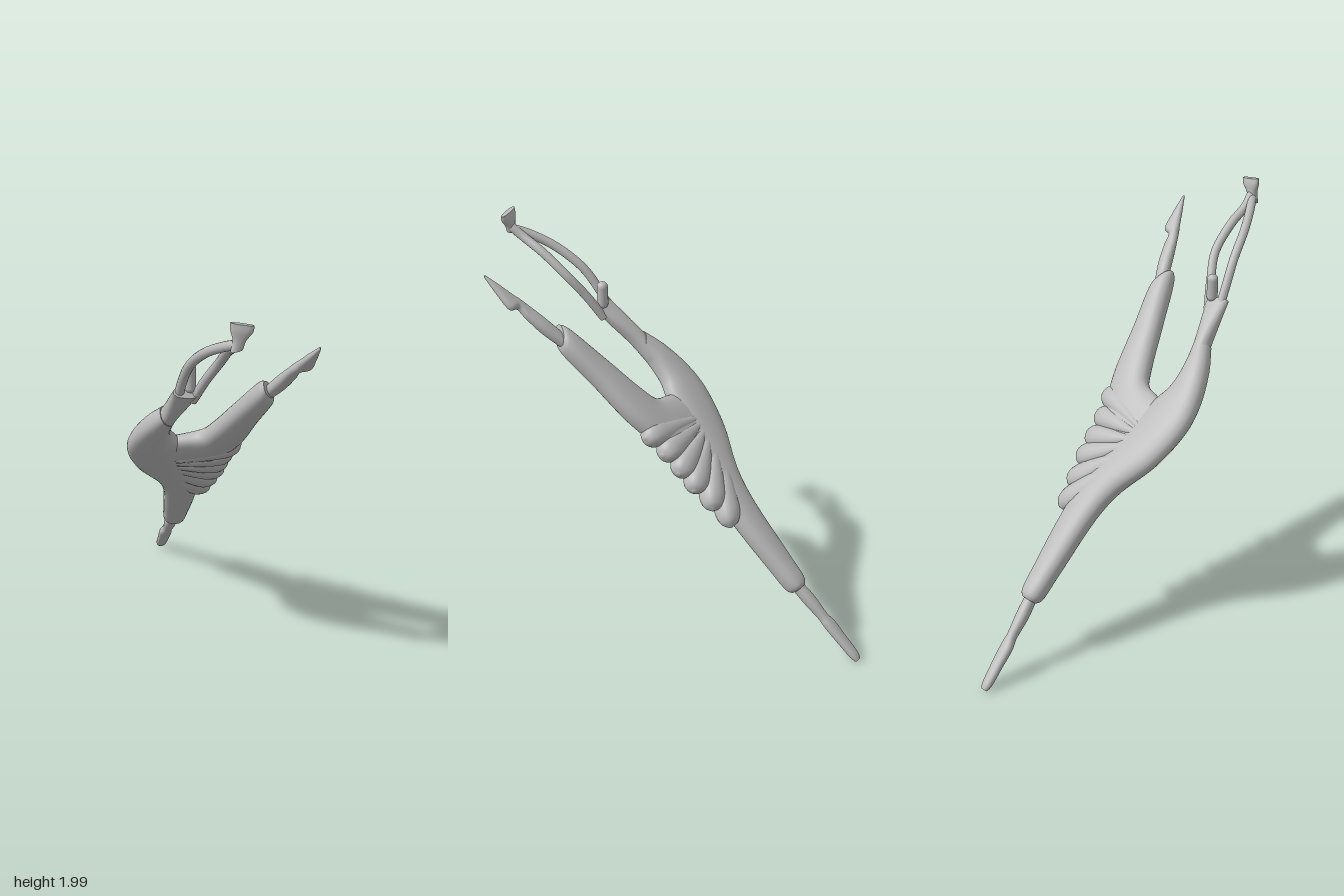
import * as THREE from 'three';

const TILT = 0.76; // the flat figure leans back-to-front at this angle
const grey = new THREE.MeshStandardMaterial({ color: 0xbababa });
grey.name = 'plain grey';

// Height in the upright frame -> distance along the tilted plane
const along = (y) => (y - 1) / Math.cos(TILT);
const same = (y) => y;

// Rounded solid lofted through sections [xLeft, yLeft, xRight, yRight, halfThickness]
function loft(sections, map = along, steps = 40, sides = 28) {
  const left = new THREE.CatmullRomCurve3(
    sections.map(([x, y]) => new THREE.Vector3(x, map(y), 0)));
  const right = new THREE.CatmullRomCurve3(
    sections.map(([, , x, y, t]) => new THREE.Vector3(x, map(y), t)));
  const pos = [], index = [];
  const round = (v) => Math.sign(v) * Math.pow(Math.abs(v), 0.85);
  const ring = (s) => {
    const l = left.getPoint(s), r = right.getPoint(s);
    const t = Math.max(r.z, 0.002);
    for (let j = 0; j < sides; j++) {
      const a = (j / sides) * Math.PI * 2;
      const k = 0.5 + round(Math.cos(a)) / 2;
      pos.push(l.x + (r.x - l.x) * k, l.y + (r.y - l.y) * k, round(Math.sin(a)) * t);
    }
    return [(l.x + r.x) / 2, (l.y + r.y) / 2, 0];
  };
  for (let i = 0; i <= steps; i++) ring(i / steps);
  for (let i = 0; i < steps; i++) {
    for (let j = 0; j < sides; j++) {
      const a = i * sides + j, b = i * sides + ((j + 1) % sides);
      index.push(a, a + sides, b, b, a + sides, b + sides);
    }
  }
  // Crisp end caps
  for (const end of [0, 1]) {
    const base = pos.length / 3;
    pos.push(...ring(end));
    const mid = base + sides;
    for (let j = 0; j < sides; j++) {
      const a = base + j, b = base + ((j + 1) % sides);
      if (end) index.push(mid, b, a);
      else index.push(mid, a, b);
    }
  }
  const g = new THREE.BufferGeometry();
  g.setAttribute('position', new THREE.Float32BufferAttribute(pos, 3));
  g.setIndex(index);
  g.computeVertexNormals();
  return g;
}

function add(parent, name, geometry) {
  const mesh = new THREE.Mesh(geometry, grey);
  mesh.name = name;
  parent.add(mesh);
  return mesh;
}

export function createModel() {
  const model = new THREE.Group();
  model.name = 'dancer';
  const figure = new THREE.Group();
  figure.name = 'tiltedFigure';
  figure.position.set(0, 1, 0.01);
  figure.rotation.x = TILT;
  model.add(figure);

  // Standing leg flowing into the arched torso
  add(figure, 'torsoAndStandingLeg', loft([
    [-0.125, 0.345, -0.055, 0.345, 0.036],
    [-0.143, 0.36, -0.04, 0.36, 0.048],
    [-0.155, 0.46, -0.025, 0.46, 0.053],
    [-0.178, 0.7, -0.008, 0.68, 0.058],
    [-0.215, 0.8, -0.03, 0.84, 0.06],
    [-0.325, 0.95, -0.08, 1.0, 0.06],
    [-0.375, 1.1, -0.14, 1.14, 0.06],
    [-0.36, 1.2, -0.178, 1.2, 0.058],
    [-0.305, 1.31, -0.19, 1.26, 0.055],
    [-0.245, 1.385, -0.182, 1.33, 0.046],
  ], along, 64));

  // Raised leg joining the torso at the hip
  add(figure, 'raisedLeg', loft([
    [-0.27, 1.13, -0.18, 0.9, 0.045],
    [-0.13, 1.155, 0.0, 0.94, 0.055],
    [-0.045, 1.175, 0.1, 1.05, 0.058],
    [0.0, 1.235, 0.155, 1.15, 0.058],
    [0.08, 1.39, 0.2, 1.33, 0.055],
    [0.165, 1.55, 0.24, 1.48, 0.048],
    [0.182, 1.565, 0.235, 1.505, 0.035],
  ], along, 48));

  // Chest and shoulders
  add(figure, 'chest', loft([
    [-0.262, 1.33, -0.188, 1.28, 0.04],
    [-0.236, 1.4, -0.168, 1.37, 0.042],
    [-0.22, 1.47, -0.13, 1.45, 0.036],
    [-0.203, 1.55, -0.09, 1.53, 0.025],
  ]));

  // Calves with pointed feet
  add(figure, 'standingFoot', loft([
    [-0.15, 0.012, -0.115, 0.012, 0.012],
    [-0.157, 0.03, -0.108, 0.03, 0.018],
    [-0.155, 0.11, -0.095, 0.11, 0.022],
    [-0.152, 0.175, -0.088, 0.18, 0.024],
    [-0.138, 0.21, -0.09, 0.21, 0.024],
    [-0.135, 0.29, -0.075, 0.29, 0.03],
    [-0.115, 0.38, -0.065, 0.38, 0.028],
  ]));
  add(figure, 'raisedFoot', loft([
    [0.19, 1.53, 0.23, 1.49, 0.026],
    [0.23, 1.61, 0.28, 1.57, 0.028],
    [0.268, 1.68, 0.31, 1.64, 0.022],
    [0.288, 1.71, 0.32, 1.68, 0.022],
    [0.298, 1.725, 0.36, 1.69, 0.022],
    [0.33, 1.775, 0.37, 1.75, 0.017],
    [0.367, 1.83, 0.373, 1.825, 0.006],
  ]));

  // Fan of skirt pleats spreading from the waist
  const root = [-0.28, 1.01];
  const tips = [[0.04, 0.665], [0.07, 0.75], [0.1, 0.84], [0.115, 0.92], [0.13, 1.005], [0.155, 1.09]];
  const shape = [[0, 0.004, 0.045], [0.35, 0.03, 0.056], [0.7, 0.056, 0.062], [0.88, 0.056, 0.056],
    [0.96, 0.038, 0.038], [1, 0.006, 0.008]];
  tips.forEach(([tx, ty], i) => {
    const dx = tx - root[0], dv = along(ty) - along(root[1]);
    const len = Math.hypot(dx, dv), px = -dv / len, pv = dx / len;
    add(figure, 'skirtPleat' + (i + 1), loft(shape.map(([s, w, t]) => {
      const x = root[0] + dx * s, v = along(root[1]) + dv * s;
      return [x + px * w, v + pv * w, x - px * w, v - pv * w, t];
    }), same, 30, 20));
  });

  // Arms arching overhead to the joined hands
  const arms = {
    rightArm: [[-0.18, 1.49, 0.49], [-0.165, 1.61, 0.555], [-0.14, 1.71, 0.625],
      [-0.09, 1.81, 0.745], [-0.025, 1.875, 0.85], [0.015, 1.9, 0.9]],
    leftArm: [[-0.115, 1.49, 0.49], [-0.065, 1.61, 0.555], [-0.02, 1.71, 0.625],
      [0.0, 1.81, 0.745], [0.008, 1.87, 0.85], [0.022, 1.91, 0.9]],
  };
  for (const [name, points] of Object.entries(arms)) {
    const path = new THREE.CatmullRomCurve3(points.map((p) => new THREE.Vector3(...p)));
    add(model, name, new THREE.TubeGeometry(path, 40, 0.021, 14));
  }
  const hands = add(model, 'hands', loft([
    [-0.012, 1.875, 0.038, 1.885, 0.02],
    [-0.004, 1.92, 0.05, 1.92, 0.02],
    [-0.014, 1.97, 0.078, 1.955, 0.019],
    [-0.014, 1.998, 0.083, 1.98, 0.012],
  ], same, 20));
  hands.position.z = 0.908;

  // Head tipped back between the arms
  const head = add(model, 'head', new THREE.CapsuleGeometry(0.026, 0.085, 8, 20));
  head.position.set(-0.127, 1.6, 0.503);
  return model;
}
